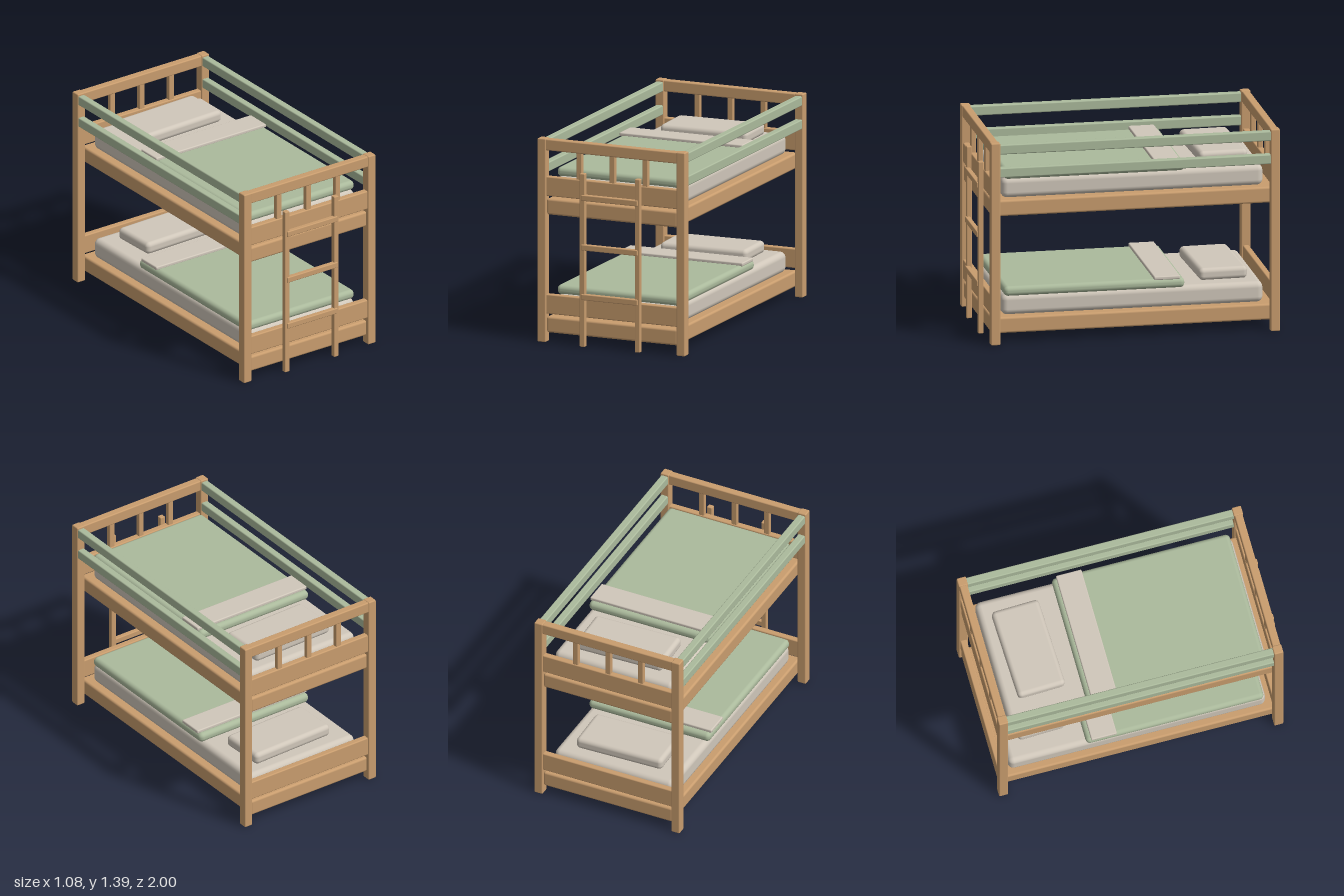
import * as THREE from 'three';
import { RoundedBoxGeometry } from 'three/addons/geometries/RoundedBoxGeometry.js';

const material = (name, color) => {
  const m = new THREE.MeshStandardMaterial({ color });
  m.name = name;
  return m;
};

export function createModel() {
  const wood = material('wood', 0xc99d6e);
  const green = material('sage green', 0xabba9c);
  const linen = material('linen', 0xd0c7ba);
  const model = new THREE.Group();
  model.name = 'bunkBed';

  // Rounded block given by its extents on each axis
  const block = (name, mat, [x0, x1], [y0, y1], [z0, z1], radius = 0.008, parent = model) => {
    const geometry = new RoundedBoxGeometry(x1 - x0, y1 - y0, z1 - z0, 3, radius);
    const mesh = new THREE.Mesh(geometry, mat);
    mesh.name = name;
    mesh.position.set((x0 + x1) / 2, (y0 + y1) / 2, (z0 + z1) / 2);
    parent.add(mesh);
    return mesh;
  };
  const around = (centre, size) => [centre - size / 2, centre + size / 2];

  // Head and foot ends: posts, panels, top rail and balusters
  for (const [end, z] of [['head', -0.968], ['foot', 0.936]]) {
    const group = new THREE.Group();
    group.name = end + 'End';
    model.add(group);
    for (const x of [-0.51, 0.51])
      block('post', wood, around(x, 0.062), [0, 1.395], around(z, 0.064), 0.008, group);
    block('topRail', wood, [-0.485, 0.485], [1.315, 1.392], around(z, 0.054), 0.008, group);
    for (const y of [0.195, 1.002])
      block('endPanel', wood, [-0.485, 0.485], [y, y + 0.133], around(z, 0.044), 0.008, group);
    for (const x of [-0.242, 0, 0.242])
      block('baluster', wood, around(x, 0.04), [1.12, 1.325], around(z, 0.034), 0.006, group);
  }

  // Guard rails along both sides of the upper bunk
  for (const x of [-0.51, 0.51])
    for (const y of [1.155, 1.315])
      block('guardRail', green, around(x, 0.05), [y, y + 0.066], [-0.945, 0.915], 0.008);

  // Two identical bunks with bedding
  for (const [name, y] of [['lowerBunk', 0.065], ['upperBunk', 0.873]]) {
    const bunk = new THREE.Group();
    bunk.name = name;
    bunk.position.y = y;
    model.add(bunk);
    block('bedBase', wood, [-0.48, 0.48], [0, 0.11], [-0.985, 0.953], 0.015, bunk);
    block('mattress', linen, [-0.442, 0.442], [0.112, 0.254], [-0.905, 0.875], 0.04, bunk);
    block('blanket', green, [-0.45, 0.45], [0.243, 0.31], [-0.37, 0.86], 0.03, bunk);
    block('blanketFold', linen, [-0.452, 0.452], [0.305, 0.33], [-0.337, -0.16], 0.008, bunk);
    const pillow = block('pillow', linen, around(0.01, 0.63), [0.25, 0.334], around(-0.648, 0.33), 0.03, bunk);
    pillow.rotation.y = 0.03;
  }

  // Ladder on the foot end
  const ladder = new THREE.Group();
  ladder.name = 'ladder';
  model.add(ladder);
  for (const x of [-0.202, 0.202])
    block('ladderStile', wood, around(x, 0.038), [0, 1.187], [0.955, 0.991], 0.006, ladder);
  for (const y of [0.343, 0.683, 1.023])
    block('ladderRung', wood, [-0.207, 0.207], around(y, 0.04), [0.966, 1], 0.006, ladder);

  return model;
}
